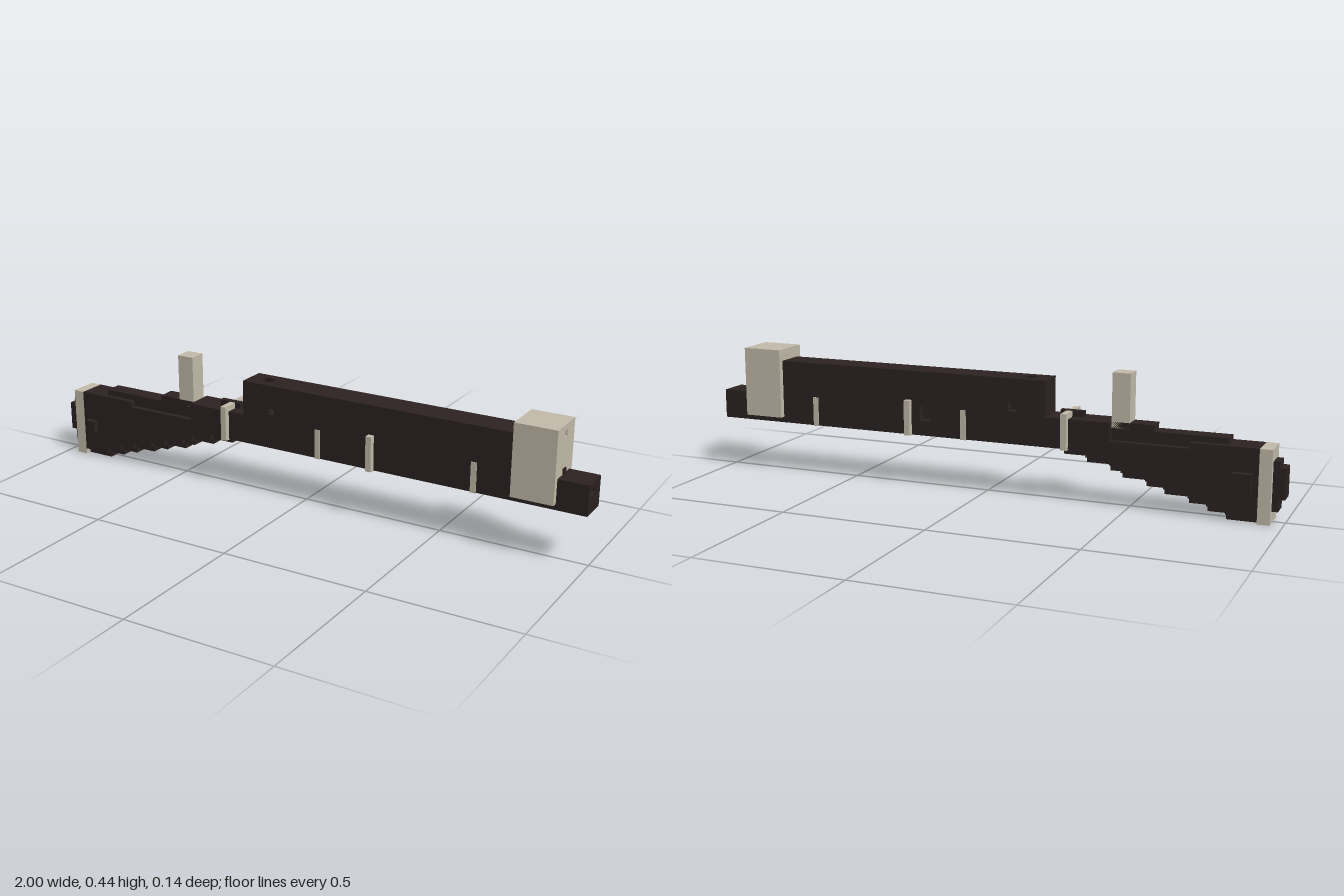
import * as THREE from 'three';

export function createModel() {
  const model = new THREE.Group();
  const wood = new THREE.MeshStandardMaterial({ color: 0x2c2221 });
  wood.name = 'dark wood';
  const metal = new THREE.MeshStandardMaterial({ color: 0xc3bbaa });
  metal.name = 'pale metal';

  const add = (name, geometry, material) => {
    const mesh = new THREE.Mesh(geometry, material);
    mesh.name = name;
    model.add(mesh);
    return mesh;
  };
  // box given by its limits on each axis
  const box = (name, material, x0, x1, y0, y1, z0, z1) => {
    const g = new THREE.BoxGeometry(x1 - x0, y1 - y0, z1 - z0);
    g.translate((x0 + x1) / 2, (y0 + y1) / 2, (z0 + z1) / 2);
    return add(name, g, material);
  };
  const rect = (x0, x1, y0, y1) =>
    [[x0, y0], [x1, y0], [x1, y1], [x0, y1]].map(p => new THREE.Vector2(...p));
  // slab with rectangular openings, outline in its own plane
  const slab = (outline, holes, depth) => {
    const shape = new THREE.Shape(outline);
    holes.forEach(h => shape.holes.push(new THREE.Path(rect(...h))));
    return new THREE.ExtrudeGeometry(shape, { depth, bevelEnabled: false });
  };
  // slab facing +x, its outline given as (-z, y)
  const endSlab = (name, material, outline, holes, x0, depth) =>
    add(name, slab(rect(...outline), holes, depth).rotateY(Math.PI / 2).translate(x0, 0, 0), material);

  // Main body: core with a top notch, and side layers with sockets
  const core = [[-0.22, 0.18], [0.78, 0.18], [0.78, 0.4], [-0.13, 0.4], [-0.13, 0.38],
    [-0.17, 0.38], [-0.17, 0.4], [-0.22, 0.4]].map(p => new THREE.Vector2(...p));
  add('bodyCore', slab(core, [], 0.04).translate(0, 0, -0.02), wood);
  const side = rect(-0.22, 0.78, 0.18, 0.4);
  add('bodyFrontSide', slab(side, [[-0.12, -0.1, 0.3, 0.32]], 0.03).translate(0, 0, 0.02), wood);
  add('bodyBackSide', slab(side, [[-0.12, -0.09, 0.29, 0.32], [0.19, 0.23, 0.23, 0.28]], 0.03)
    .translate(0, 0, -0.05), wood);

  // Barrel end with recessed muzzle
  box('barrel', wood, 0.78, 0.98, 0.18, 0.28, -0.05, 0.05);
  endSlab('muzzle', wood, [-0.05, 0.05, 0.18, 0.28], [[-0.03, 0.01, 0.24, 0.26]], 0.98, 0.02);

  // Front sight housing
  box('sightHousing', metal, 0.76, 0.88, 0.2, 0.44, -0.07, 0.07);
  endSlab('sightFace', metal, [-0.07, 0.07, 0.2, 0.44], [[-0.01, 0.01, 0.4, 0.42]], 0.88, 0.02);
  box('sightPin', wood, 0.89, 0.905, 0.28, 0.3, -0.01, 0.01);

  // Wrist between body and stock
  box('wrist', wood, -0.44, -0.22, 0.18, 0.28, -0.05, 0.05);
  box('latch', wood, -0.34, -0.26, 0.28, 0.302, -0.01, 0.01);
  box('rearPost', metal, -0.5, -0.44, 0.26, 0.44, -0.03, 0.03);

  // Stock: full-width columns, each with a narrower keel below
  const steps = [-0.92, -0.82, -0.76, -0.7, -0.62, -0.56, -0.48, -0.44, -0.36, -0.28];
  for (let i = 0; i < steps.length - 1; i++) {
    const y = i * 0.02;
    const top = i < 3 ? 0.24 : i < 7 ? 0.22 : 0.2;
    box('stockColumn', wood, steps[i], steps[i + 1], y + 0.02, top, -0.05, 0.05);
    box('stockKeel', wood, steps[i], steps[i + 1], y, y + 0.02, -0.03, 0.03);
  }
  box('stockComb', wood, -0.92, -0.44, 0.2, 0.24, -0.03, 0.03);
  box('stockRidge', wood, -0.82, -0.44, 0.24, 0.26, -0.03, 0.03);
  box('stockRidgeTop', wood, -0.58, -0.44, 0.26, 0.28, -0.03, 0.03);
  box('frontStud', wood, -0.9, -0.86, 0.1, 0.14, 0.05, 0.07);
  box('backStud', wood, -0.9, -0.84, 0.1, 0.16, -0.07, -0.05);

  // Butt plate and stepped pad
  box('buttPlate', metal, -0.96, -0.92, 0, 0.24, -0.05, 0.05);
  box('buttPad', wood, -0.98, -0.96, 0.04, 0.2, -0.03, 0.03);
  box('buttPadCap', wood, -1, -0.98, 0.08, 0.18, -0.03, 0.03);

  // Flush bands around the body, and raised ones with side bars
  for (const x of [0.07, 0.63]) {
    box('flushBand', metal, x - 0.01, x + 0.01, 0.178, 0.28, -0.052, 0.052);
  }
  for (const x of [-0.29, 0.27]) {
    box('bandUnderside', metal, x - 0.01, x + 0.01, 0.178, 0.182, -0.06, 0.06);
    for (const s of [-1, 1]) {
      box('bandBar', metal, x - 0.01, x + 0.01, 0.18, 0.3, s * 0.06 - 0.01, s * 0.06 + 0.01);
    }
  }
  box('bandTop', metal, -0.3, -0.28, 0.28, 0.3, -0.05, 0.05);

  return model;
}
